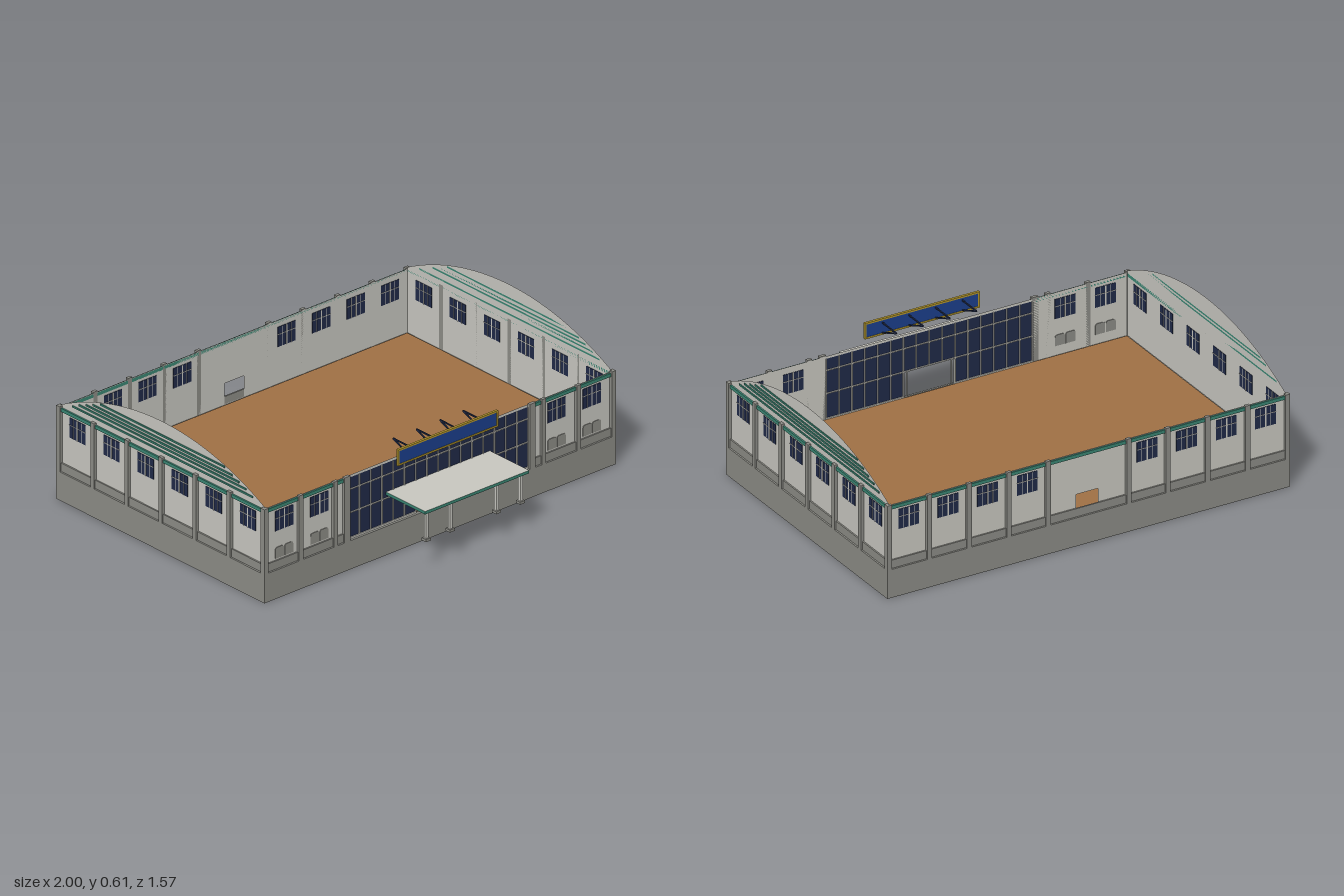
import * as THREE from 'three';

const mat = (name, color, side = THREE.FrontSide) => {
  const m = new THREE.MeshStandardMaterial({ color, side });
  m.name = name;
  return m;
};
const M = {
  wall: mat('pale wall', 0xc8c7c0, THREE.DoubleSide),
  grey: mat('concrete grey', 0x8c8c86),
  floor: mat('wooden floor', 0xa07044),
  glass: mat('navy glass', 0x202a48, THREE.DoubleSide),
  teal: mat('teal trim', 0x3a8573),
  blue: mat('sign blue', 0x1b3f8c),
  gold: mat('sign gold', 0xb3962c),
};

const BASE = 0.137, EAVE = 0.44, CZ = -0.1175, HX = 0.985, HZ = 0.6525;

function add(parent, name, geometry, material) {
  const mesh = new THREE.Mesh(geometry, material);
  mesh.name = name;
  parent.add(mesh);
  return mesh;
}
// Box given by its limits on each axis
function box(parent, name, material, x0, x1, y0, y1, z0, z1) {
  const mesh = add(parent, name, new THREE.BoxGeometry(x1 - x0, y1 - y0, z1 - z0), material);
  mesh.position.set((x0 + x1) / 2, (y0 + y1) / 2, (z0 + z1) / 2);
  return mesh;
}
function rect(x0, x1, y0, y1, C = THREE.Shape) {
  const s = new C();
  s.moveTo(x0, y0).lineTo(x1, y0).lineTo(x1, y1).lineTo(x0, y1).closePath();
  return s;
}

// Two-leaf window, visible on both faces of the wall
function addWindow(f, u) {
  const y0 = 0.313, y1 = 0.408;
  box(f, 'windowGlass', M.glass, u - 0.051, u + 0.051, y0, y1, -0.002, 0.002);
  box(f, 'windowPost', M.wall, u - 0.003, u + 0.003, y0, y1, -0.004, 0.004);
  box(f, 'windowRail', M.wall, u - 0.051, u + 0.051, 0.371, 0.374, -0.004, 0.004);
  for (const s of [-1, 1])
    box(f, 'windowBar', M.wall, u + s * 0.026 - 0.001, u + s * 0.026 + 0.001, y0, y1, -0.003, 0.003);
}

// Pair of low grey panels with rounded upper corners
function addVents(f, u) {
  const s = new THREE.Shape(), w = 0.024, h = 0.052, r = 0.012;
  s.moveTo(-w, 0).lineTo(w, 0).lineTo(w, h - r).quadraticCurveTo(w, h, w - r, h)
    .lineTo(-w + r, h).quadraticCurveTo(-w, h, -w, h - r).closePath();
  const geo = new THREE.ExtrudeGeometry(s, { depth: 0.006, bevelEnabled: false, curveSegments: 4 });
  for (const k of [-1, 1]) add(f, 'ventPanel', geo, M.grey).position.set(u + k * 0.0265, 0.183, -0.003);
}

function addPilaster(f, u, half = 0.0115) {
  box(f, 'pilaster', M.grey, u - half, u + half, BASE - 0.002, 0.445, 0, 0.015);
}

// Eaves band and plinth along part of a facade
function addBands(f, u0, u1) {
  box(f, 'eavesBand', M.teal, u0, u1, 0.42, 0.436, 0, 0.008);
  box(f, 'plinthBand', M.grey, u0, u1, BASE, 0.176, 0.001, 0.008);
}

// Group whose local +z points out of the building
function facade(root, name, x, z, angle) {
  const g = new THREE.Group();
  g.name = name;
  g.position.set(x, 0, z);
  g.rotation.y = angle;
  root.add(g);
  return g;
}

function addSide(root, name, sign) {
  const f = facade(root, name, sign * HX, CZ, sign * Math.PI / 2);
  // Wall with an arched gable
  const s = new THREE.Shape();
  const hw = 0.6675, rise = 0.61 - EAVE, R = (hw * hw + rise * rise) / (2 * rise), a = Math.asin(hw / R);
  s.moveTo(-HZ, BASE).lineTo(HZ, BASE).lineTo(hw, EAVE);
  s.absarc(0, 0.61 - R, R, Math.PI / 2 - a, Math.PI / 2 + a, false);
  s.closePath();
  add(f, 'gableWall', new THREE.ShapeGeometry(s, 32), M.wall);
  addBands(f, -HZ, HZ);
  for (let i = 0; i <= 6; i++) addPilaster(f, (i - 3) * 0.2185);
  for (let i = 0; i < 6; i++) addWindow(f, (i - 2.5) * 0.2185);
  [[0.468, 0.578], [0.489, 0.536], [0.506, 0.491], [0.523, 0.448], [0.544, 0.398]].forEach(([y, w]) =>
    box(f, 'gableStripe', M.teal, -w, w, y - 0.004, y + 0.004, 0, 0.004));
}

function addBack(root) {
  const f = facade(root, 'backWall', 0, CZ - HZ, Math.PI);
  const s = rect(-HX, HX, BASE, EAVE);
  s.holes.push(rect(-0.055, 0.055, BASE + 0.004, 0.24, THREE.Path));
  add(f, 'backWallPanel', new THREE.ShapeGeometry(s), M.wall);
  addBands(f, -HX, HX);
  for (const k of [-1, 1]) {
    for (const u of [0.2, 0.395, 0.592, 0.79, 0.9885]) addPilaster(f, k * u);
    for (const u of [0.297, 0.494, 0.691, 0.885]) addWindow(f, k * u);
  }
}

function addFront(root) {
  const f = facade(root, 'frontWall', 0, CZ + HZ, 0);
  const W = 0.512, top = 0.428, doorW = 0.128, doorTop = 0.262;
  const s = rect(-HX, HX, BASE, EAVE);
  s.holes.push(rect(-W, W, BASE + 0.002, top, THREE.Path));
  add(f, 'frontWallPanel', new THREE.ShapeGeometry(s), M.wall);
  for (const k of [-1, 1]) {
    addBands(f, k < 0 ? -HX : 0.53, k < 0 ? -0.53 : HX);
    for (const u of [0.592, 0.79, 0.9885]) addPilaster(f, k * u);
    addPilaster(f, k * 0.527, 0.016);
    for (const u of [0.675, 0.875]) {
      addWindow(f, k * u);
      addVents(f, k * u);
    }
  }
  // Glazed curtain wall around the open doorway
  const g = new THREE.Shape();
  g.moveTo(-W, BASE).lineTo(-doorW, BASE).lineTo(-doorW, doorTop).lineTo(doorW, doorTop)
    .lineTo(doorW, BASE).lineTo(W, BASE).lineTo(W, top).lineTo(-W, top).closePath();
  add(f, 'curtainGlass', new THREE.ShapeGeometry(g), M.glass);
  for (let i = 0; i <= 16; i++) {
    const u = -W + i * W / 8;
    const y0 = Math.abs(u) < doorW - 0.01 ? doorTop : BASE;
    box(f, 'mullion', M.wall, u - 0.0025, u + 0.0025, y0, top, -0.005, 0.005);
  }
  for (const y of [0.373, doorTop])
    box(f, 'transom', M.wall, -W, W, y - 0.0025, y + 0.0025, -0.005, 0.005);
  for (const k of [-1, 1]) {
    box(f, 'lowerTransom', M.wall, k < 0 ? -W : doorW, k < 0 ? -doorW : W, BASE, 0.145, -0.005, 0.005);
    box(f, 'doorFrame', M.wall, k * 0.11 - 0.002, k * 0.11 + 0.002, BASE, doorTop, -0.004, 0.004);
  }
}

function addCanopy(root) {
  const g = facade(root, 'entranceCanopy', 0, 0, 0);
  const slab = box(g, 'canopySlab', M.teal, -0.296, 0.296, 0.278, 0.292, 0.536, 0.787);
  slab.material = [M.teal, M.teal, M.wall, M.wall, M.teal, M.teal];
  for (const x of [-0.268, -0.132, 0.132, 0.268]) {
    box(g, 'canopyColumn', M.wall, x - 0.007, x + 0.007, 0.148, 0.278, 0.756, 0.77);
    box(g, 'columnFoot', M.grey, x - 0.014, x + 0.014, 0.138, 0.15, 0.749, 0.777);
  }
}

function addSign(root) {
  const g = facade(root, 'roofSign', 0, 0, 0);
  const x = 0.285, y0 = 0.435, y1 = 0.512, t = 0.008;
  box(g, 'signPanel', M.blue, -x + t, x - t, y0 + t, y1 - t, 0.592, 0.6);
  for (const k of [-1, 1])
    box(g, 'signFrameSide', M.gold, k * (x - t / 2) - t / 2, k * (x - t / 2) + t / 2, y0, y1, 0.59, 0.602);
  for (const y of [y0, y1 - t])
    box(g, 'signFrameRail', M.gold, -x + t, x - t, y, y + t, 0.59, 0.602);
  // Triangular brackets behind the sign
  const strut = (px, ya, za, yb, zb) => {
    const m = add(g, 'signBracket', new THREE.BoxGeometry(0.006, 0.006, Math.hypot(yb - ya, zb - za)), M.glass);
    m.position.set(px, (ya + yb) / 2, (za + zb) / 2);
    m.rotation.x = -Math.atan2(yb - ya, zb - za);
  };
  for (const px of [-0.2, -0.068, 0.065, 0.197]) {
    strut(px, 0.492, 0.475, 0.492, 0.592);
    strut(px, 0.492, 0.475, 0.444, 0.592);
  }
}

export function createModel() {
  const root = new THREE.Group();
  root.name = 'sportsHall';
  box(root, 'foundation', M.grey, -1, 1, 0, 0.136, -0.785, 0.55);
  box(root, 'hallFloor', M.floor, -0.98, 0.98, 0.13, 0.139, -0.765, 0.53);
  addSide(root, 'leftWall', 1);
  addSide(root, 'rightWall', -1);
  addBack(root);
  addFront(root);
  addCanopy(root);
  addSign(root);
  return root;
}
